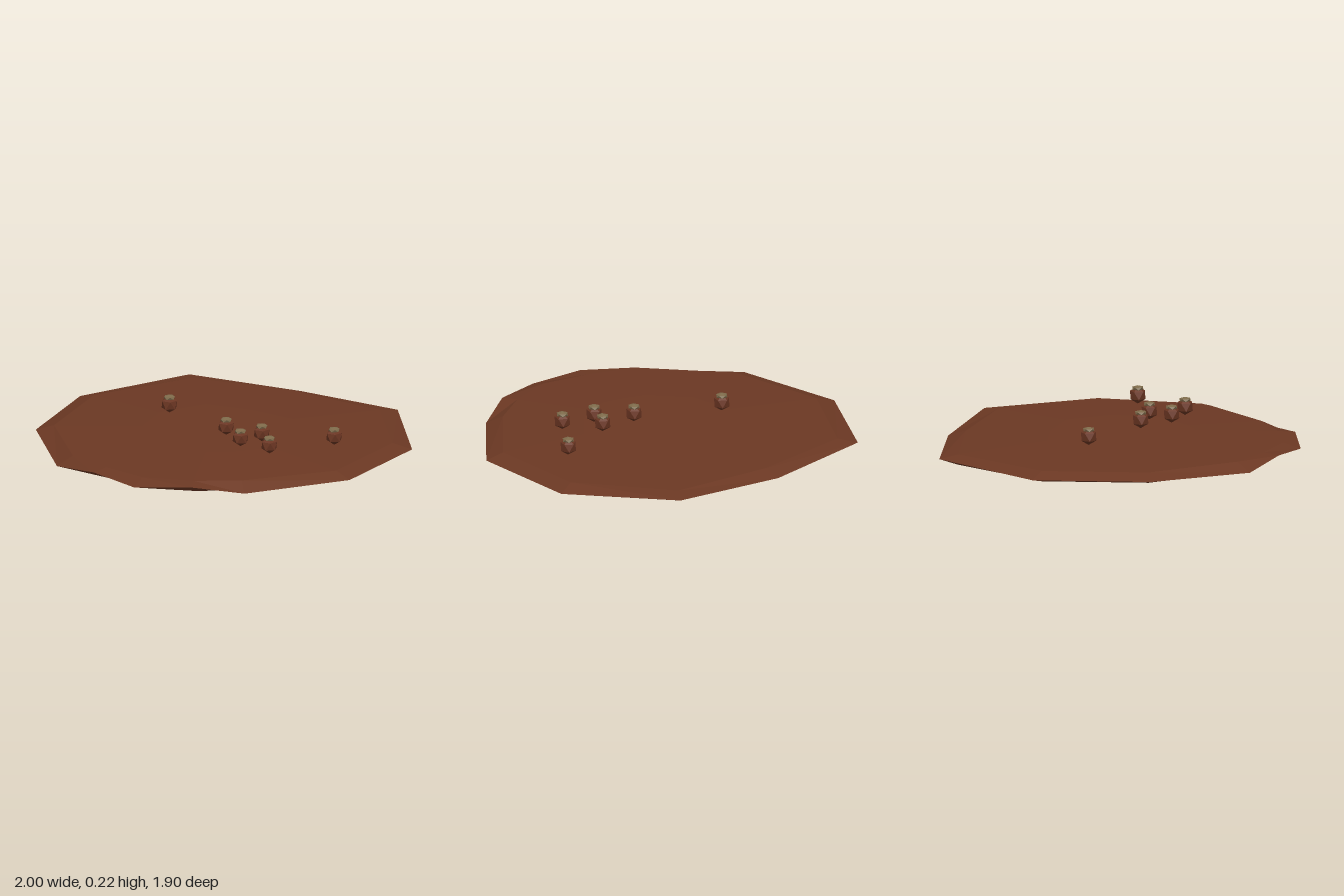
import * as THREE from 'three';

const earth = new THREE.MeshStandardMaterial({ name: 'earthBrown', color: 0x6b3823, flatShading: true });
const shell = new THREE.MeshStandardMaterial({ name: 'shellBrown', color: 0x6a3522, flatShading: true });
const cap = new THREE.MeshStandardMaterial({ name: 'capOlive', color: 0x7d6a4a, flatShading: true });

// Outer edge of the slab, as [x, y, z] going round from the back towards +x
const rim = [
  [0, 0.06, -0.955], [0.63, 0.075, -0.865], [1, 0.06, -0.33], [0.955, 0.06, 0.3],
  [0.55, 0.045, 0.73], [0.3, 0.082, 0.87], [0, 0.06, 0.95], [-0.28, 0.082, 0.88],
  [-0.56, 0.045, 0.77], [-0.935, 0.06, 0.3], [-1, 0.06, -0.33], [-0.64, 0.075, -0.895],
];

// Flat faceted slab: rings of the rim outline, shrunk towards top and bottom
function slabGeometry() {
  const ring = (scale, y) => rim.map(([x, , z]) => [x * scale, y, z * scale]);
  const rings = [ring(0.001, 0.113), ring(0.42, 0.111), ring(0.9, 0.09), rim,
    ring(0.9, 0.034), ring(0.5, 0.01), ring(0.001, 0.002)];
  const n = rim.length;
  const index = [];
  for (let r = 0; r < rings.length - 1; r++) {
    for (let i = 0; i < n; i++) {
      const a = r * n + i, b = r * n + (i + 1) % n, c = a + n, d = b + n;
      index.push(a, b, c, b, d, c);
    }
  }
  const geometry = new THREE.BufferGeometry();
  geometry.setAttribute('position', new THREE.Float32BufferAttribute(rings.flat(2), 3));
  geometry.setIndex(index);
  const flat = geometry.toNonIndexed();
  flat.computeVertexNormals();
  return flat;
}

// Icosahedron standing on one corner
const uprightIcosahedron = (radius) => new THREE.IcosahedronGeometry(radius, 0)
  .rotateZ(-Math.atan(2 / (1 + Math.sqrt(5)))).rotateY(Math.PI / 2);

// One small nut: faceted body with a flattened cap
const bodyGeometry = uprightIcosahedron(0.047);
const capGeometry = uprightIcosahedron(0.034).scale(1, 0.45, 1);

function makeNut(x, z) {
  const nut = new THREE.Group();
  nut.name = 'nut';
  const body = new THREE.Mesh(bodyGeometry, shell);
  body.name = 'nutBody';
  body.position.y = 0.166;
  const top = new THREE.Mesh(capGeometry, cap);
  top.name = 'nutCap';
  top.position.y = 0.203;
  nut.add(body, top);
  nut.position.set(x, 0, z);
  return nut;
}

export function createModel() {
  const model = new THREE.Group();
  model.name = 'nutsOnSlab';
  const slab = new THREE.Mesh(slabGeometry(), earth);
  slab.name = 'slab';
  model.add(slab);
  const spots = [[-0.36, -0.135], [0.09, 0.07], [0.31, 0.08], [0.25, 0.21], [0.445, 0.25], [0.68, -0.045]];
  for (const [x, z] of spots) model.add(makeNut(x, z));
  return model;
}
